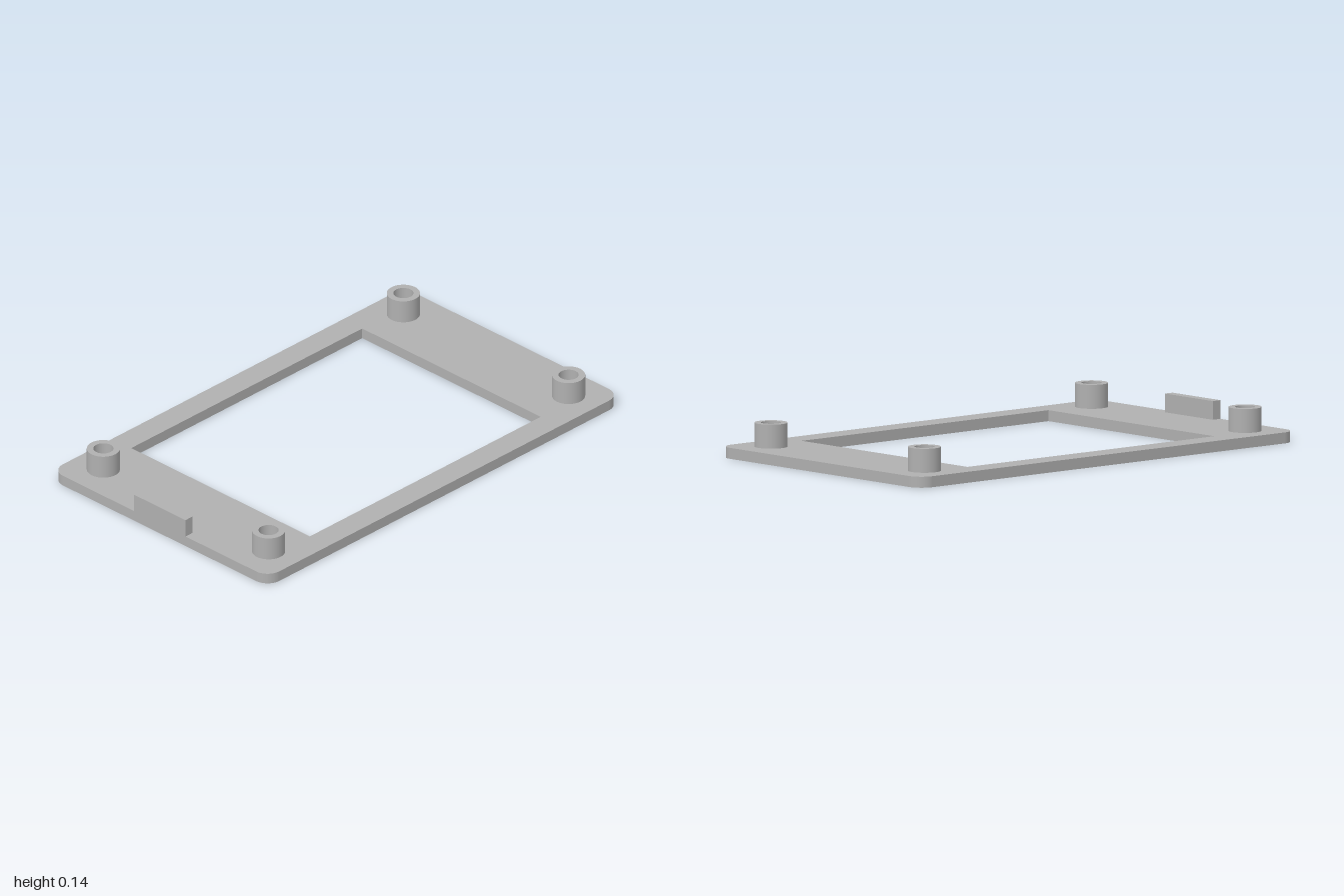
import * as THREE from 'three';

const HALF_X = 1, HALF_Z = 0.6, CORNER = 0.065;
const THICK = 0.044, RECESS = 0.022;
const POST_X = 0.851, POST_Z = 0.458, POST_R = 0.066, HOLE_R = 0.04, POST_TOP = 0.14;
const corners = [[-1, -1], [1, -1], [1, 1], [-1, 1]];

// Rounded rectangle with a window and four round holes
function plateShape(holeRadius) {
  const s = new THREE.Shape();
  const x = HALF_X - CORNER, z = HALF_Z - CORNER;
  s.absarc(x, z, CORNER, 0, Math.PI / 2);
  s.absarc(-x, z, CORNER, Math.PI / 2, Math.PI);
  s.absarc(-x, -z, CORNER, Math.PI, Math.PI * 1.5);
  s.absarc(x, -z, CORNER, Math.PI * 1.5, Math.PI * 2);
  s.closePath();
  const w = 0.655, h = 0.495;
  s.holes.push(new THREE.Path([
    new THREE.Vector2(-w, -h), new THREE.Vector2(-w, h),
    new THREE.Vector2(w, h), new THREE.Vector2(w, -h),
  ]));
  for (const [sx, sz] of corners) {
    s.holes.push(new THREE.Path().absarc(sx * POST_X, sz * POST_Z, holeRadius, 0, Math.PI * 2, true));
  }
  return s;
}

export function createModel() {
  const model = new THREE.Group();
  model.name = 'mountingBezel';
  const grey = new THREE.MeshStandardMaterial({ color: 0xb0b0b0 });
  grey.name = 'plainGrey';

  const add = (name, geometry, x = 0, y = 0, z = 0) => {
    const mesh = new THREE.Mesh(geometry, grey);
    mesh.name = name;
    mesh.position.set(x, y, z);
    model.add(mesh);
  };

  // Flat frame, with the holes open to the full post width
  const plate = new THREE.ExtrudeGeometry(plateShape(POST_R), {
    depth: THICK, bevelEnabled: false, curveSegments: 24,
  });
  plate.rotateX(-Math.PI / 2);
  add('framePlate', plate);

  // Hollow posts start inside the plate, leaving a shallow recess underneath
  const profile = [
    [HOLE_R, RECESS], [POST_R, RECESS], [POST_R, RECESS], [POST_R, POST_TOP],
    [POST_R, POST_TOP], [HOLE_R, POST_TOP], [HOLE_R, POST_TOP], [HOLE_R, RECESS],
  ];
  // Each straight run is its own lathe so that the rims stay sharp
  for (const [sx, sz] of corners) {
    for (let i = 0; i < profile.length; i += 2) {
      const run = profile.slice(i, i + 2).map(([r, y]) => new THREE.Vector2(r, y));
      const part = ['Underside', 'Wall', 'Rim', 'Bore'][i / 2];
      add('post' + part, new THREE.LatheGeometry(run, 48), sx * POST_X, 0, sz * POST_Z);
    }
  }

  // Upright tab on the right edge
  const tabHeight = 0.119 - THICK;
  add('edgeTab', new THREE.BoxGeometry(0.04, tabHeight, 0.286), -0.98, THICK + tabHeight / 2, 0);

  return model;
}
